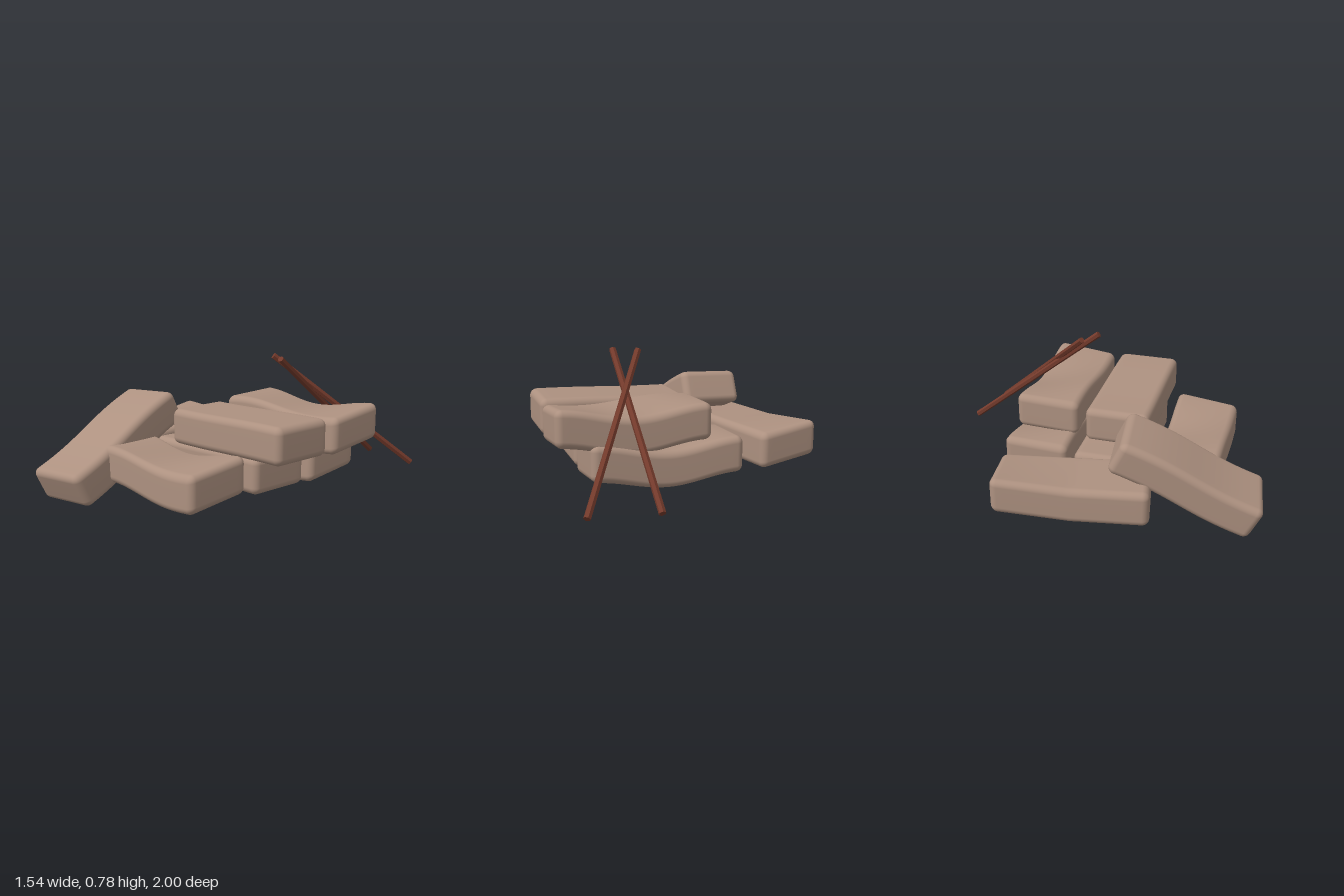
import * as THREE from 'three';
import { mergeVertices } from 'three/addons/utils/BufferGeometryUtils.js';

const SIZE = [0.855, 0.205, 0.38];
const SEGMENTS = [30, 10, 18];
const RADIUS = 0.04;
const BEVEL = 4; // segments spent on each rounded edge

// Rounded box with a dense grid, raised and lowered by wave(u, v), u and v in -1..1
function sackGeometry(wave) {
  const geo = new THREE.BoxGeometry(...SIZE, ...SEGMENTS);
  geo.deleteAttribute('uv');
  geo.deleteAttribute('normal');
  const pos = geo.attributes.position;
  const p = new THREE.Vector3();
  const core = new THREE.Vector3();
  const inner = new THREE.Vector3(...SIZE).multiplyScalar(0.5).subScalar(RADIUS);
  for (let i = 0; i < pos.count; i++) {
    p.fromBufferAttribute(pos, i);
    for (let a = 0; a < 3; a++) {
      // crowd grid lines into the edge zones
      const n = SEGMENTS[a];
      const k = Math.round((p.getComponent(a) / SIZE[a] + 0.5) * n);
      const h = inner.getComponent(a);
      let c;
      if (k < BEVEL) c = -h - RADIUS * Math.tan((1 - k / BEVEL) * Math.PI / 4);
      else if (k > n - BEVEL) c = h + RADIUS * Math.tan((1 - (n - k) / BEVEL) * Math.PI / 4);
      else c = -h + 2 * h * (k - BEVEL) / (n - 2 * BEVEL);
      p.setComponent(a, c);
      core.setComponent(a, THREE.MathUtils.clamp(c, -h, h));
    }
    p.sub(core).setLength(RADIUS).add(core);
    p.y += wave(2 * p.x / SIZE[0], 2 * p.z / SIZE[2]);
    pos.setXYZ(i, p.x, p.y, p.z);
  }
  const merged = mergeVertices(geo, 1e-5);
  merged.computeVertexNormals();
  return merged;
}

// Surface waves
const sagging = (u, v) => {
  const back = -0.03 * Math.cos(3.2 * u) + 0.01 * u;
  const front = -0.02 * Math.sin(3 * u);
  return THREE.MathUtils.lerp(back, front, (v + 1) / 2);
};
const gentle = (u) => 0.012 * Math.sin(1.6 * u) - 0.004;
const lifted = (u, v) => 0.022 * u * (1 - v) * (u > 0 ? 1 : 0.1);
const bowed = (u) => 0.012 * Math.sin(3 * u);

export function createModel() {
  const group = new THREE.Group();
  const clay = new THREE.MeshStandardMaterial({ color: 0xad9180 });
  clay.name = 'tan clay';
  const wood = new THREE.MeshStandardMaterial({ color: 0x733a2b });
  wood.name = 'red brown wood';

  // Stacked blocks: name, centre, rotation, wave
  const blocks = [
    ['lowerFrontBlock', [0.175, 0.21, 0.53], [0, 0.01, 0], sagging],
    ['lowerMiddleBlock', [0.16, 0.205, 0.08], [0, 0.01, 0], gentle],
    ['lowerBackBlock', [0.16, 0.205, -0.345], [0, 0.015, 0], sagging],
    ['upperMiddleBlock', [0.34, 0.4, 0.095], [0, 0.01, 0], gentle],
    ['upperBackBlock', [0.34, 0.4, -0.33], [0, 0.012, 0], sagging],
    ['sideBlock', [-0.505, 0.21, -0.025], [0, 1.77, 0], lifted],
    ['leaningBlock', [-0.295, 0.285, 0.57], [-0.06, 1.73, 0.44], bowed],
  ];
  for (const [name, centre, rotation, wave] of blocks) {
    const mesh = new THREE.Mesh(sackGeometry(wave), clay);
    mesh.name = name;
    mesh.position.set(...centre);
    mesh.rotation.set(...rotation, 'YZX');
    group.add(mesh);
  }

  // Crossed sticks leaning on the back
  const sticks = [
    ['straightStick', [0.365, 0.78, -0.14], [0.353, 0.115, -0.99]],
    ['crossingStick', [0.24, 0.78, -0.21], [0.705, 0.11, -0.935]],
  ];
  for (const [name, top, bottom] of sticks) {
    const a = new THREE.Vector3(...bottom);
    const b = new THREE.Vector3(...top);
    const dir = b.clone().sub(a);
    const geo = new THREE.CylinderGeometry(0.019, 0.019, dir.length(), 6).toNonIndexed();
    geo.computeVertexNormals();
    const mesh = new THREE.Mesh(geo, wood);
    mesh.name = name;
    mesh.position.copy(a).add(b).multiplyScalar(0.5);
    mesh.quaternion.setFromUnitVectors(new THREE.Vector3(0, 1, 0), dir.normalize());
    group.add(mesh);
  }
  return group;
}
